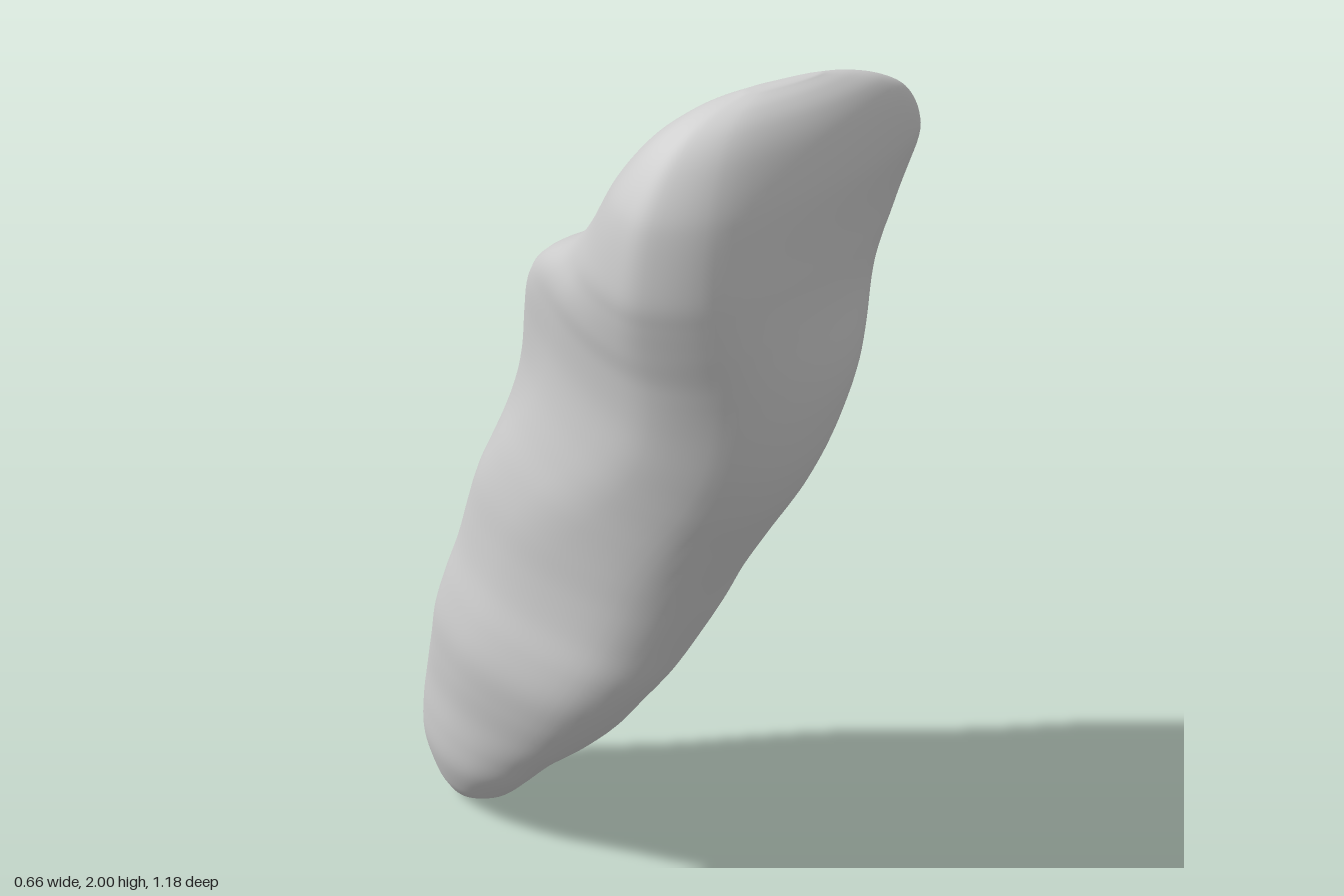
import * as THREE from 'three';
import { mergeVertices } from 'three/addons/utils/BufferGeometryUtils.js';

// Extents of each level: y, x min, x max, z front, z back
const LEVELS = [
  [0, -0.165, -0.145, -0.51, -0.53],
  [0.02, -0.195, -0.11, -0.455, -0.56],
  [0.05, -0.215, -0.09, -0.405, -0.575],
  [0.1, -0.24, -0.07, -0.34, -0.585],
  [0.2, -0.273, -0.063, -0.235, -0.588],
  [0.3, -0.284, -0.047, -0.14, -0.565],
  [0.4, -0.288, -0.022, -0.035, -0.535],
  [0.5, -0.298, 0, 0.06, -0.495],
  [0.6, -0.306, 0.015, 0.14, -0.46],
  [0.7, -0.3, 0.043, 0.21, -0.425],
  [0.8, -0.288, 0.068, 0.265, -0.387],
  [0.9, -0.284, 0.088, 0.32, -0.35],
  [1.0, -0.284, 0.103, 0.373, -0.307],
  [1.1, -0.28, 0.133, 0.43, -0.255],
  [1.2, -0.273, 0.173, 0.485, -0.207],
  [1.3, -0.27, 0.21, 0.525, -0.163],
  [1.4, -0.275, 0.24, 0.55, -0.125],
  [1.5, -0.292, 0.264, 0.567, -0.07],
  [1.57, -0.31, 0.279, 0.577, 0.01],
  [1.64, -0.323, 0.293, 0.586, 0.125],
  [1.7, -0.33, 0.308, 0.592, 0.195],
  [1.8, -0.325, 0.326, 0.595, 0.27],
  [1.86, -0.31, 0.305, 0.59, 0.32],
  [1.92, -0.275, 0.255, 0.575, 0.375],
  [1.96, -0.23, 0.19, 0.555, 0.42],
  [1.985, -0.17, 0.12, 0.53, 0.45],
  [2.0, -0.09, 0.05, 0.5, 0.475],
];

// Outlines in the unit square (u across, v back to front), same point order
const TIP = [[0, 0.55], [0.1, 0.8], [0.3, 0.95], [0.5, 1], [0.75, 0.92], [0.94, 0.72],
  [1, 0.5], [0.97, 0.25], [0.8, 0.06], [0.5, 0], [0.2, 0.07], [0.03, 0.28]];
const ROOT = [[0, 0.4], [0.06, 0.64], [0.25, 0.9], [0.52, 1], [0.78, 0.95], [0.95, 0.82],
  [1, 0.66], [0.88, 0.42], [0.77, 0.25], [0.64, 0.08], [0.36, 0], [0.07, 0.14]];
const CROWN = [[0, 0.71], [0.05, 0.87], [0.23, 0.985], [0.5, 0.99], [0.8, 0.89], [0.96, 0.71],
  [1, 0.56], [0.89, 0.35], [0.7, 0.13], [0.44, 0], [0.14, 0.03], [0.025, 0.35]];
const BLADE = [[0, 0.66], [0.03, 0.86], [0.18, 1], [0.5, 0.9], [0.8, 0.66], [0.96, 0.43],
  [1, 0.25], [0.95, 0.07], [0.8, 0], [0.47, 0.03], [0.16, 0.12], [0.04, 0.36]];

// Heights over which one outline turns into the next
const BLENDS = [[ROOT, 0.1, 0.55], [CROWN, 0.85, 1.55], [BLADE, 1.37, 1.85]];

const SIDES = 72;
const RINGS = 156;

// Closed smooth outline, rescaled to fill the unit square exactly
function outline(y) {
  const points = TIP.map(([u, v], i) => {
    const p = new THREE.Vector3(u, 0, v);
    for (const [shape, from, to] of BLENDS) {
      const [su, sv] = shape[i];
      p.lerp(new THREE.Vector3(su, 0, sv), THREE.MathUtils.smootherstep(y, from, to));
    }
    return p;
  });
  const ring = new THREE.CatmullRomCurve3(points, true).getPoints(SIDES).slice(0, SIDES);
  const box = new THREE.Box3().setFromPoints(ring);
  return ring.map((p) => [
    (p.x - box.min.x) / (box.max.x - box.min.x),
    (p.z - box.min.z) / (box.max.z - box.min.z),
  ]);
}

function toothGeometry() {
  const rail = (x, z) => new THREE.CatmullRomCurve3(
    LEVELS.map((l) => new THREE.Vector3(l[x], l[0], l[z])), false, 'catmullrom', 0.5);
  const leftFront = rail(1, 3);
  const rightBack = rail(2, 4);
  const positions = [];
  const index = [];

  // Stacked cross-sections between the two rails
  for (let i = 0; i <= RINGS; i++) {
    const p = leftFront.getPoint(i / RINGS);
    const q = rightBack.getPoint(i / RINGS);
    for (const [u, v] of outline(p.y)) {
      positions.push(THREE.MathUtils.lerp(p.x, q.x, u), p.y, THREE.MathUtils.lerp(q.z, p.z, v));
    }
  }
  for (let i = 0; i < RINGS; i++) {
    for (let j = 0; j < SIDES; j++) {
      const a = i * SIDES + j, b = i * SIDES + (j + 1) % SIDES;
      index.push(a, b, b + SIDES, a, b + SIDES, a + SIDES);
    }
  }

  // Close root tip and biting edge
  for (const [ring, top] of [[0, false], [RINGS, true]]) {
    const p = leftFront.getPoint(ring / RINGS);
    const q = rightBack.getPoint(ring / RINGS);
    const centre = positions.length / 3;
    positions.push((p.x + q.x) / 2, p.y, (p.z + q.z) / 2);
    for (let j = 0; j < SIDES; j++) {
      const a = ring * SIDES + j, b = ring * SIDES + (j + 1) % SIDES;
      index.push(centre, ...(top ? [a, b] : [b, a]));
    }
  }

  const geometry = new THREE.BufferGeometry();
  geometry.setAttribute('position', new THREE.Float32BufferAttribute(positions, 3));
  geometry.setIndex(index);
  const merged = mergeVertices(geometry, 1e-5);
  merged.computeVertexNormals();
  return merged;
}

export function createModel() {
  const group = new THREE.Group();
  group.name = 'incisorTooth';
  const grey = new THREE.MeshStandardMaterial({ color: 0xd0d0d0 });
  grey.name = 'plain grey';
  const tooth = new THREE.Mesh(toothGeometry(), grey);
  tooth.name = 'crownAndRoot';
  group.add(tooth);
  return group;
}
